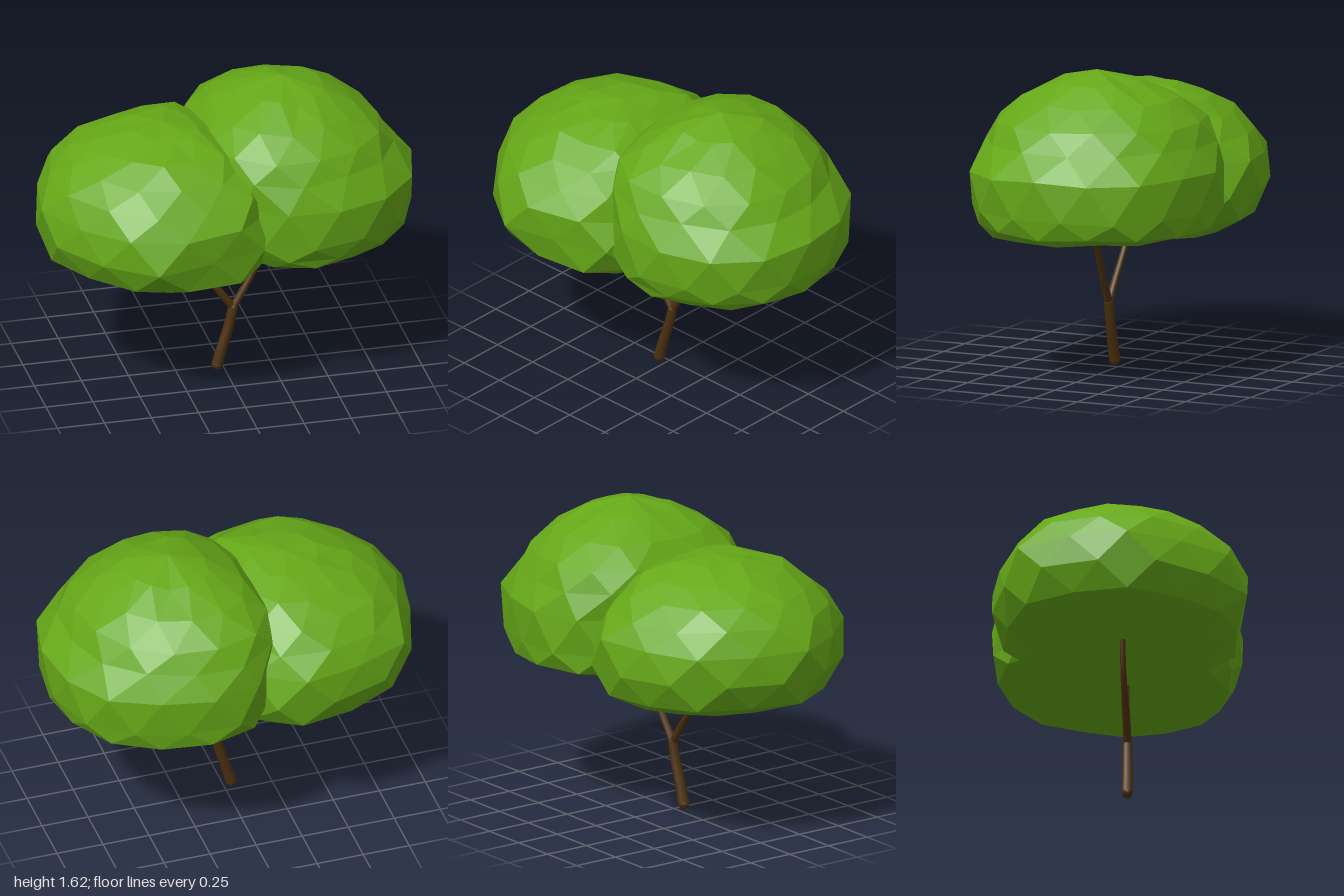
import * as THREE from 'three';

const leafMaterial = new THREE.MeshStandardMaterial({ color: 0x66a818, flatShading: true });
const barkMaterial = new THREE.MeshStandardMaterial({ color: 0x4c300f });

function seeded(seed) {
  return () => {
    seed = (seed * 16807) % 2147483647;
    return seed / 2147483647;
  };
}

// Faceted crown: a plan outline scaled per ring [y, scale, dx, dz] from the hollow
// underside to the top; each ring is turned half a facet and slightly roughened
function crown(name, [cx, cz], outline, rings, sides, seed) {
  const random = seeded(seed);
  const curve = new THREE.CatmullRomCurve3(outline.map(([x, z]) => new THREE.Vector3(x, 0, z)), true);
  const rows = rings.map(([y, scale, dx = 0, dz = 0], r) =>
    Array.from({ length: sides }, (_, i) => {
      const p = curve.getPointAt(((i + r / 2) / sides) % 1);
      const s = scale * (1.01 - 0.03 * random());
      const bump = scale > 0 ? 0.02 * (random() - 0.5) : 0;
      return [cx + dx + (p.x - cx) * s, y + bump, cz + dz + (p.z - cz) * s];
    }));
  const positions = [];
  for (let r = 0; r < rows.length - 1; r++) {
    for (let i = 0; i < sides; i++) {
      const j = (i + 1) % sides;
      const [a, b, c, d] = [rows[r][i], rows[r][j], rows[r + 1][i], rows[r + 1][j]];
      if (r > 0) positions.push(...a, ...c, ...b);
      if (r < rows.length - 2) positions.push(...b, ...c, ...d);
    }
  }
  const geometry = new THREE.BufferGeometry();
  geometry.setAttribute('position', new THREE.Float32BufferAttribute(positions, 3));
  geometry.computeVertexNormals();
  const mesh = new THREE.Mesh(geometry, leafMaterial);
  mesh.name = name;
  return mesh;
}

// Round limb whose radius runs from r0 to r1 along a smooth path
function limb(name, path, r0, r1) {
  const curve = new THREE.CatmullRomCurve3(path.map(p => new THREE.Vector3(...p)));
  const segments = 12, sides = 10;
  const geometry = new THREE.TubeGeometry(curve, segments, 1, sides);
  const pos = geometry.attributes.position;
  const v = new THREE.Vector3();
  for (let i = 0; i < pos.count; i++) {
    const t = Math.floor(i / (sides + 1)) / segments;
    const c = curve.getPointAt(t);
    v.fromBufferAttribute(pos, i).sub(c).multiplyScalar(r0 + (r1 - r0) * t).add(c);
    pos.setXYZ(i, v.x, v.y, v.z);
  }
  const mesh = new THREE.Mesh(geometry, barkMaterial);
  mesh.name = name;
  return mesh;
}

function knob(name, at, radius) {
  const mesh = new THREE.Mesh(new THREE.SphereGeometry(radius, 10, 8), barkMaterial);
  mesh.position.set(...at);
  mesh.name = name;
  return mesh;
}

export function createModel() {
  const tree = new THREE.Group();
  tree.name = 'tree';

  // Trunk with rounded foot, forking into two branches
  const foot = [-0.037, 0.03, 0.037], fork = [0.048, 0.345, 0.03];
  tree.add(
    knob('trunkFoot', foot, 0.03),
    limb('trunk', [foot, [-0.012, 0.12, 0.036], [0.03, 0.26, 0.032], fork], 0.03, 0.025),
    knob('fork', fork, 0.026),
    limb('leftBranch', [fork, [0.1, 0.43, 0.025], [0.21, 0.62, 0.01], [0.32, 0.8, 0], [0.36, 0.89, 0]], 0.021, 0.013),
    limb('rightBranch', [fork, [-0.02, 0.44, 0.03], [-0.17, 0.65, 0.03], [-0.195, 0.72, 0.03], [-0.22, 0.84, 0.03]], 0.021, 0.013)
  );

  // Low, broad crown on the right, its underside rising to the branch tip
  tree.add(crown('rightCrown', [-0.4, 0.02],
    [[-0.82, -0.46], [-0.58, -0.57], [-0.26, -0.65], [-0.04, -0.57], [0.08, -0.35], [0.16, 0], [0.16, 0.35],
      [0.07, 0.6], [-0.18, 0.66], [-0.5, 0.7], [-0.68, 0.6], [-0.9, 0.34], [-0.98, 0.22], [-1, 0.02]],
    [[0.83, 0, 0.15, 0.01], [0.69, 0.66, 0.08], [0.78, 0.92, 0.02], [0.92, 1], [1.08, 0.99], [1.2, 0.88],
      [1.3, 0.74, 0.02], [1.38, 0.56, 0.05], [1.435, 0.3, 0.08], [1.455, 0, 0.08]], 13, 17));

  // Taller crown on the left
  tree.add(crown('leftCrown', [0.45, -0.04],
    [[1, 0], [0.98, 0.16], [0.91, 0.32], [0.74, 0.49], [0.5, 0.58], [0.32, 0.61], [0.08, 0.53],
      [-0.1, 0.32], [-0.16, 0], [-0.15, -0.3], [-0.06, -0.55], [0.04, -0.64], [0.27, -0.7], [0.5, -0.66],
      [0.76, -0.55], [0.94, -0.33]],
    [[0.89, 0, -0.09, 0.04], [0.78, 0.79, 0, 0.05], [0.825, 0.94], [0.92, 0.99], [1.12, 1], [1.26, 0.91, -0.06],
      [1.36, 0.83, -0.08], [1.47, 0.63, -0.1], [1.56, 0.35, -0.1], [1.62, 0, -0.12]], 14, 41));

  return tree;
}
